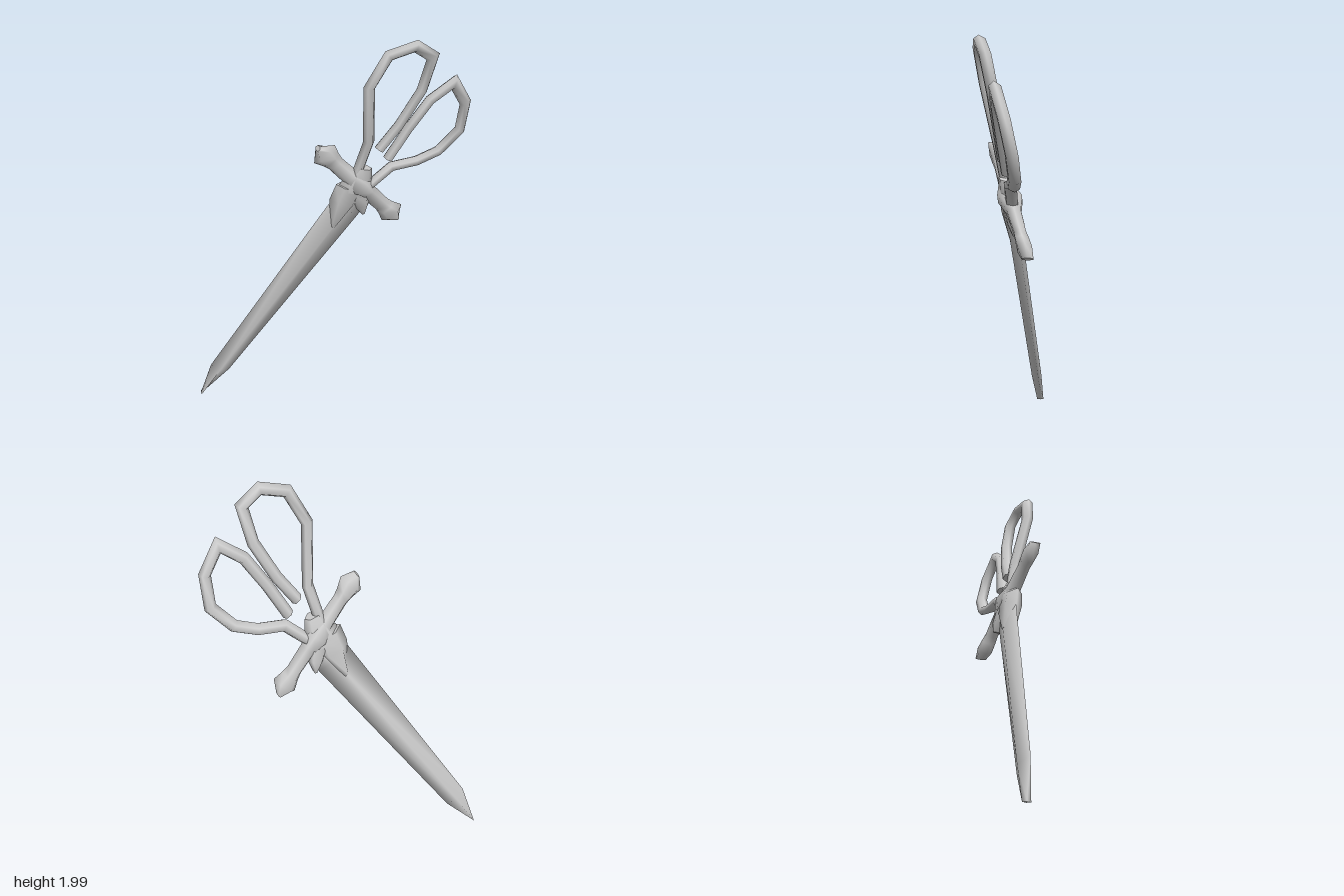
import * as THREE from 'three';

const material = new THREE.MeshStandardMaterial({ color: 0xcccccc });

// Parts are laid out in the xy plane, then leaned so depth follows z = -0.126x + 0.217y - 0.247.
const lean = new THREE.Matrix4().set(
  1, 0, 0, 0,
  0, 1, 0, 0,
  -0.126, 0.217, 1, -0.247,
  0, 0, 0, 1);

// Loft through stations [x, y, halfWidth, halfDepth] with mitred corners and capped ends.
function loft(stations, sides) {
  const pos = [], index = [];
  const last = stations.length - 1;
  const dir = (i) => new THREE.Vector2(
    stations[i + 1][0] - stations[i][0], stations[i + 1][1] - stations[i][1]).normalize();
  const ring = (i) => {
    const [x, y, w, d] = stations[i];
    const before = dir(Math.max(i - 1, 0)), after = dir(Math.min(i, last - 1));
    const t = before.clone().add(after).normalize();
    const mitre = w / Math.max(t.dot(after), 0.6);
    for (let j = 0; j < sides; j++) {
      const a = (j / sides) * Math.PI * 2;
      const s = Math.cos(a) * mitre;
      pos.push(x - t.y * s, y + t.x * s, Math.sin(a) * d);
    }
  };
  for (let i = 0; i <= last; i++) ring(i);
  for (let i = 0; i < last; i++) {
    for (let j = 0; j < sides; j++) {
      const k = (j + 1) % sides;
      const a = i * sides + j, b = i * sides + k, c = a + sides, d = b + sides;
      index.push(a, b, c, b, d, c);
    }
  }
  // caps use their own vertices so the end edges stay sharp
  for (const end of [0, last]) {
    const o = pos.length / 3;
    ring(end);
    for (let j = 1; j < sides - 1; j++) {
      if (end) index.push(o, o + j, o + j + 1);
      else index.push(o, o + j + 1, o + j);
    }
  }
  const g = new THREE.BufferGeometry();
  g.setAttribute('position', new THREE.Float32BufferAttribute(pos, 3));
  g.setIndex(index);
  g.applyMatrix4(lean);
  g.computeVertexNormals();
  return g;
}

function part(name, stations, sides) {
  const mesh = new THREE.Mesh(loft(stations, sides), material);
  mesh.name = name;
  return mesh;
}

const wire = (points) => points.map(([x, y]) => [x, y, 0.027, 0.03]);

export function createModel() {
  const group = new THREE.Group();
  group.name = 'scissorSword';

  // Blade: diamond section, tapering to a chisel point
  group.add(part('blade', [
    [-0.666, 0.004, 0.003, 0.018],
    [-0.557, 0.18, 0.057, 0.027],
    [0.082, 1.135, 0.09, 0.032],
    [0.145, 1.235, 0.09, 0.032],
  ], 4));

  // Finger loops, open at the inner end
  group.add(part('upperLoop', wire([
    [0.125, 1.31], [0.142, 1.37], [0.178, 1.508], [0.158, 1.79], [0.235, 1.937],
    [0.357, 1.968], [0.443, 1.908], [0.41, 1.745], [0.32, 1.575], [0.234, 1.455],
  ]), 6));
  group.add(part('lowerLoop', wire([
    [0.18, 1.24], [0.22, 1.272], [0.304, 1.346], [0.43, 1.357], [0.537, 1.397], [0.632, 1.503],
    [0.638, 1.65], [0.565, 1.765], [0.458, 1.688], [0.368, 1.55], [0.282, 1.395],
  ]), 6));

  // Crossguard: straight bar with faceted knobs, swelling where it crosses the hub
  const half = [
    [0.325, 0.012, 0.03], [0.275, 0.063, 0.038], [0.225, 0.046, 0.036],
    [0.19, 0.039, 0.032], [0.075, 0.042, 0.038],
  ];
  const station = (s, w, d) => [0.151 + 0.663 * s, 1.267 - 0.749 * s, w, d];
  group.add(part('crossguard', [
    ...half.map(([s, w, d]) => station(-s, w, d)),
    station(0, 0.065, 0.066),
    ...half.slice().reverse().map(([s, w, d]) => station(s, w, d)),
  ], 6));

  // Hub joining the loops to the guard
  group.add(part('hub', [
    [0.105, 1.18, 0.07, 0.035], [0.136, 1.265, 0.088, 0.052], [0.166, 1.365, 0.042, 0.034],
  ], 6));

  // Collar: two tapered points lying over the blade root, on both faces
  group.add(part('collarLeftPoint', [
    [0.105, 1.265, 0.075, 0.045], [0.075, 1.18, 0.075, 0.05], [0.025, 1.048, 0.016, 0.036],
  ], 6));
  group.add(part('collarRightPoint', [
    [0.14, 1.25, 0.065, 0.042], [0.17, 1.15, 0.042, 0.044], [0.178, 1.095, 0.01, 0.03],
  ], 6));

  return group;
}
